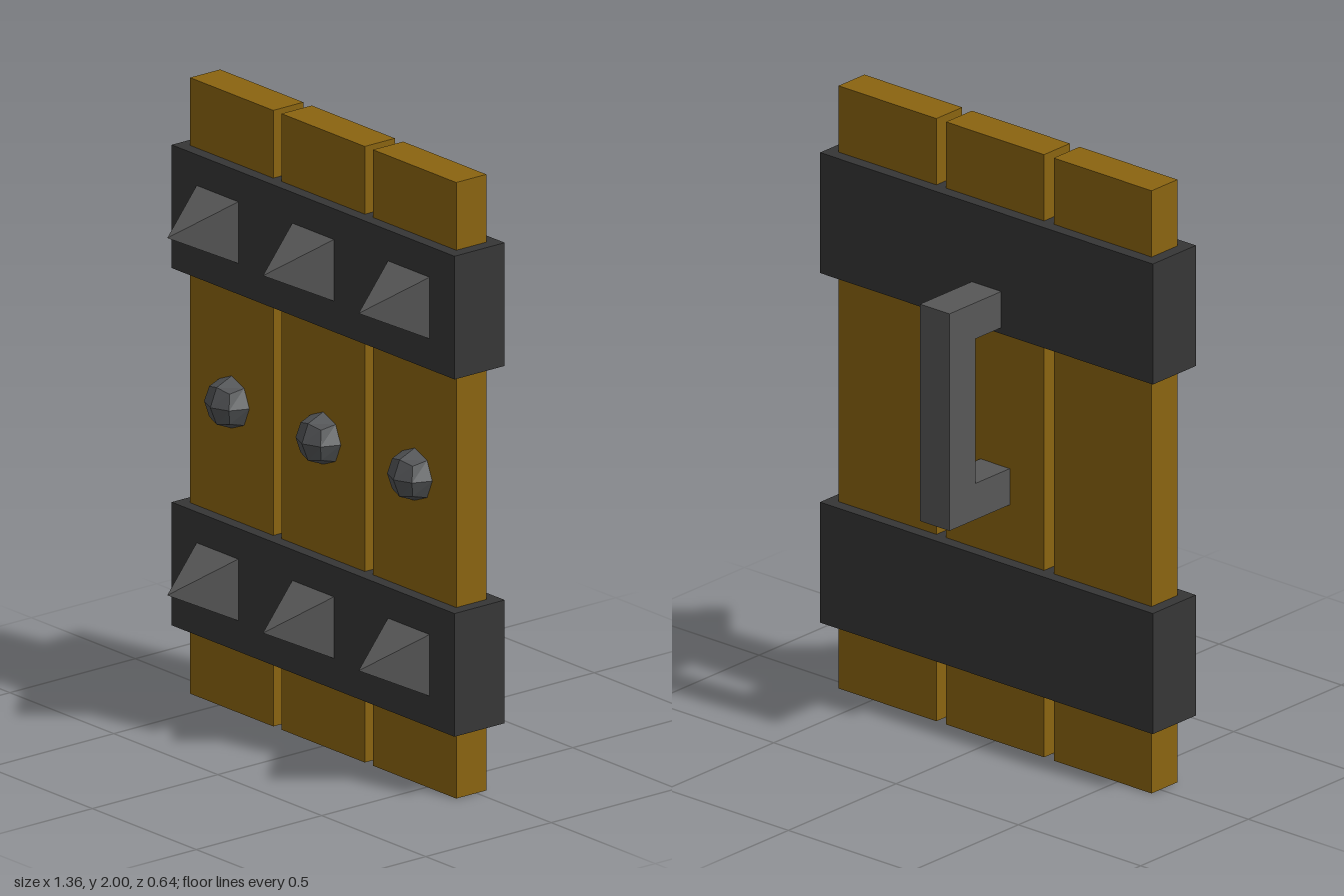
import * as THREE from 'three';

const flat = (name, color) => {
  const m = new THREE.MeshStandardMaterial({ color, flatShading: true });
  m.name = name;
  return m;
};

export function createModel() {
  const wood = flat('wood', 0x8a6410);
  const darkIron = flat('dark iron', 0x363636);
  const iron = flat('iron', 0x575757);
  const studIron = flat('stud iron', 0x525456);

  const model = new THREE.Group();
  model.name = 'plankShield';
  const add = (name, geometry, material, x, y, z) => {
    const mesh = new THREE.Mesh(geometry, material);
    mesh.name = name;
    mesh.position.set(x, y, z);
    model.add(mesh);
  };

  // Four-sided spike pointing forward, base at z = 0
  const spike = new THREE.ConeGeometry(0.1 * Math.SQRT2, 0.2, 4)
    .rotateY(Math.PI / 4).rotateX(Math.PI / 2).translate(0, 0, 0.1);

  // Rounded stud: a subdivided cube pushed out to a sphere
  const stud = new THREE.BoxGeometry(1, 1, 1, 2, 2, 2);
  const pos = stud.attributes.position;
  const v = new THREE.Vector3();
  for (let i = 0; i < pos.count; i++) {
    v.fromBufferAttribute(pos, i).setLength(0.085);
    pos.setXYZ(i, v.x, v.y, v.z);
  }
  stud.computeVertexNormals();

  // Planks, each with a stud in the middle
  const plank = new THREE.BoxGeometry(0.4, 2, 0.12);
  for (const x of [-0.44, 0, 0.44]) {
    add('plank', plank, wood, x, 1, 0.02);
    add('stud', stud, studIron, x, 1, 0.08);
  }

  // Cross bands with three spikes each
  const band = new THREE.BoxGeometry(1.36, 0.4, 0.2);
  for (const y of [0.42, 1.58]) {
    add('band', band, darkIron, 0, y, 0.02);
    for (const x of [-0.46, 0, 0.46]) add('spike', spike, iron, x, y, 0.12);
  }

  // Handle: a square C profile (depth, height) extruded across x
  const profile = new THREE.Shape([
    [0.04, 0.8], [0.32, 0.8], [0.32, 1.52], [0.04, 1.52],
    [0.04, 1.4], [0.2, 1.4], [0.2, 0.92], [0.04, 0.92],
  ].map(([d, y]) => new THREE.Vector2(d, y)));
  const handle = new THREE.ExtrudeGeometry(profile, { depth: 0.12, bevelEnabled: false })
    .translate(0, 0, -0.06).rotateY(Math.PI / 2);
  add('handle', handle, iron, 0, 0, 0);

  return model;
}
